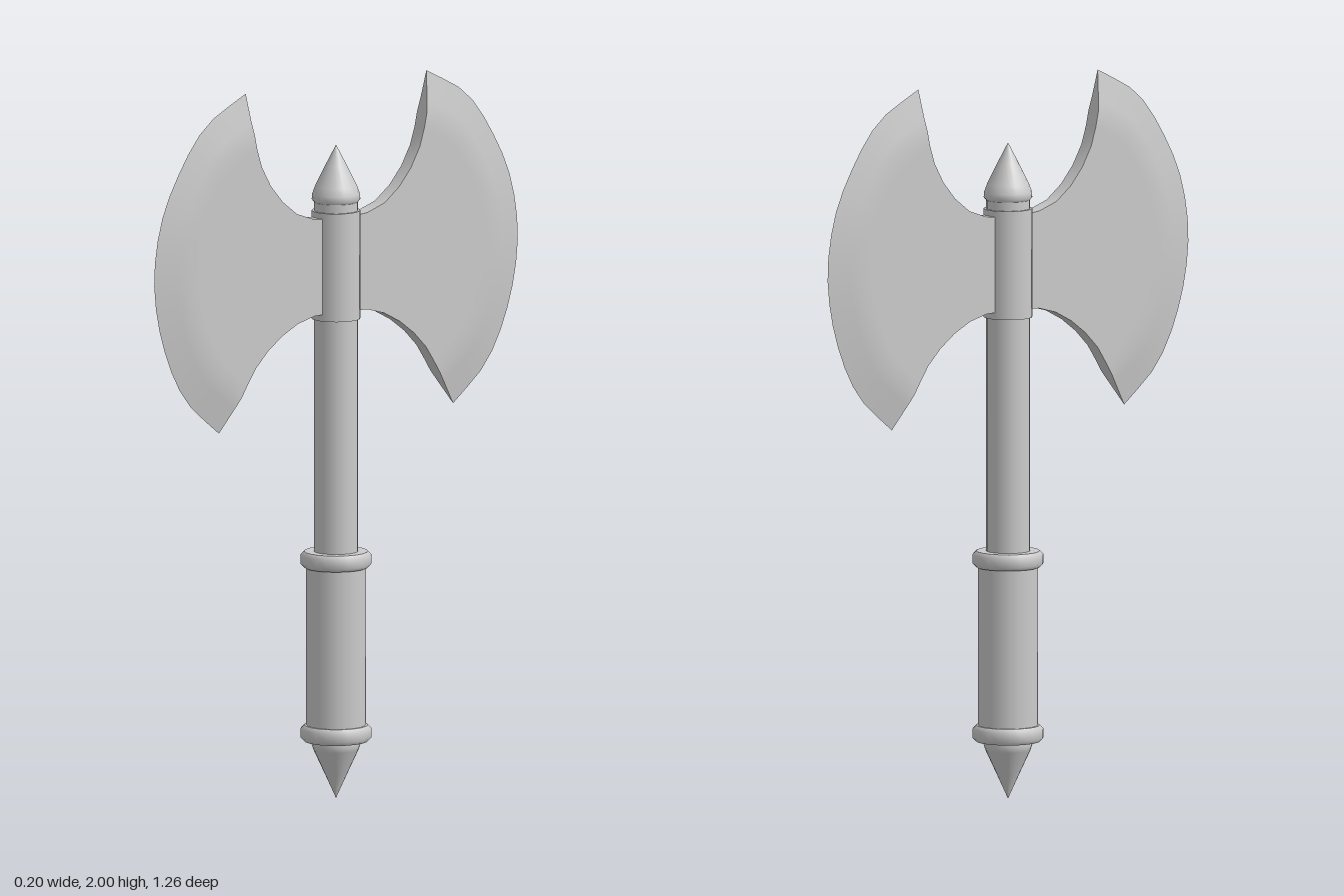
import * as THREE from 'three';

const SIDES = 20;
const material = new THREE.MeshStandardMaterial({ color: 0xcccccc, side: THREE.DoubleSide });

// Smooth polyline through (z, y) points
const curve = (pts) => new THREE.CatmullRomCurve3(pts.map(([z, y]) => new THREE.Vector3(0, y, z)), false, 'centripetal');

// Turned part; each profile is shaded smoothly along its own length
function turned(name, ...profiles) {
  const group = new THREE.Group();
  group.name = name;
  for (const p of profiles) {
    const geo = new THREE.LatheGeometry(p.map(([r, y]) => new THREE.Vector2(r, y)), SIDES);
    const mesh = new THREE.Mesh(geo, material);
    mesh.name = name + 'Surface';
    group.add(mesh);
  }
  return group;
}

// Ring with softened rims
function ring(name, y0, y1, r) {
  const c = 0.01;
  return turned(name, [[0, y0], [r - c, y0]], [[r - c, y0], [r, y0 + c], [r, y1 - c], [r - c, y1]], [[r - c, y1], [0, y1]]);
}

// Grid of vertices point(i, j) as a smooth sheet
function sheet(name, nu, nv, point, flip) {
  const pos = [], idx = [];
  for (let i = 0; i <= nu; i++) for (let j = 0; j <= nv; j++) pos.push(...point(i, j));
  for (let i = 0; i < nu; i++) for (let j = 0; j < nv; j++) {
    const a = i * (nv + 1) + j, b = a + nv + 1;
    if (flip) idx.push(a, a + 1, b, b, a + 1, b + 1);
    else idx.push(a, b, a + 1, b, b + 1, a + 1);
  }
  const geo = new THREE.BufferGeometry();
  geo.setAttribute('position', new THREE.Float32BufferAttribute(pos, 3));
  geo.setIndex(idx);
  geo.computeVertexNormals();
  const mesh = new THREE.Mesh(geo, material);
  mesh.name = name;
  return mesh;
}

// One blade, reaching out along +z and tapering to its cutting edge
function blade(name) {
  const lower = curve([[0.03, 1.36], [0.08, 1.36], [0.16, 1.338], [0.23, 1.295], [0.29, 1.24], [0.345, 1.155], [0.407, 1.06]]);
  const upper = curve([[0.03, 1.622], [0.075, 1.625], [0.153, 1.65], [0.222, 1.71], [0.273, 1.79], [0.3, 1.89], [0.314, 2]]);
  const edge = curve([[0.407, 1.06], [0.524, 1.165], [0.6, 1.32], [0.632, 1.5], [0.61, 1.66], [0.56, 1.775], [0.455, 1.92], [0.314, 2]]);
  const L0 = lower.getPointAt(0), L1 = lower.getPointAt(1), U0 = upper.getPointAt(0), U1 = upper.getPointAt(1);
  const us = [0, 0.12, 0.24, 0.36, 0.48, 0.6, 0.7, 0.78, 0.85, 0.92, 1];
  const nu = us.length - 1, nv = 18;
  const half = (u) => 0.022 * Math.min(1, (1 - u) / 0.22);

  // Surface blended between the two hollow sides, the root and the cutting edge
  const at = (i, j, s) => {
    const u = us[i], v = j / nv;
    const p = lower.getPointAt(u).multiplyScalar(1 - v).addScaledVector(upper.getPointAt(u), v)
      .addScaledVector(edge.getPointAt(v), u)
      .addScaledVector(L1, -u * (1 - v)).addScaledVector(U1, -u * v);
    // the straight root edge cancels with its own corners
    p.addScaledVector(L0.clone().lerp(U0, v), (1 - u) - (1 - u));
    return [s * half(u), p.y, p.z];
  };

  const group = new THREE.Group();
  group.name = name;
  group.add(
    sheet('leftFace', nu, nv, (i, j) => at(i, j, 1), true),
    sheet('rightFace', nu, nv, (i, j) => at(i, j, -1), false),
    sheet('lowerWall', nu, 1, (i, j) => at(i, 0, j ? 1 : -1), false),
    sheet('upperWall', nu, 1, (i, j) => at(i, nv, j ? 1 : -1), true),
  );
  return group;
}

export function createModel() {
  const axe = new THREE.Group();
  axe.name = 'doubleAxe';

  // Handle, from the pommel up
  axe.add(turned('pommelSpike', [[0, 0], [0.03, 0.066], [0.062, 0.135], [0.067, 0.15], [0.064, 0.17]]));
  axe.add(ring('lowerRing', 0.16, 0.205, 0.098));
  axe.add(turned('grip', [[0.082, 0.2], [0.082, 0.65]]));
  axe.add(ring('upperRing', 0.645, 0.69, 0.098));
  axe.add(turned('shaft', [[0.061, 0.68], [0.061, 1.67]]));

  // Collar holding the blades
  axe.add(turned('collar', [[0.06, 1.34], [0.067, 1.34]], [[0.067, 1.34], [0.067, 1.642]], [[0.067, 1.642], [0, 1.642]]));

  // Pointed cap
  axe.add(turned('capSpike', [[0, 1.665], [0.06, 1.665]], [[0.06, 1.665], [0.067, 1.673], [0.066, 1.688], [0.058, 1.71], [0.03, 1.767], [0, 1.825]]));

  // Mirrored blades
  const front = blade('frontBlade');
  const back = blade('backBlade');
  back.rotation.y = Math.PI;
  axe.add(front, back);
  return axe;
}
